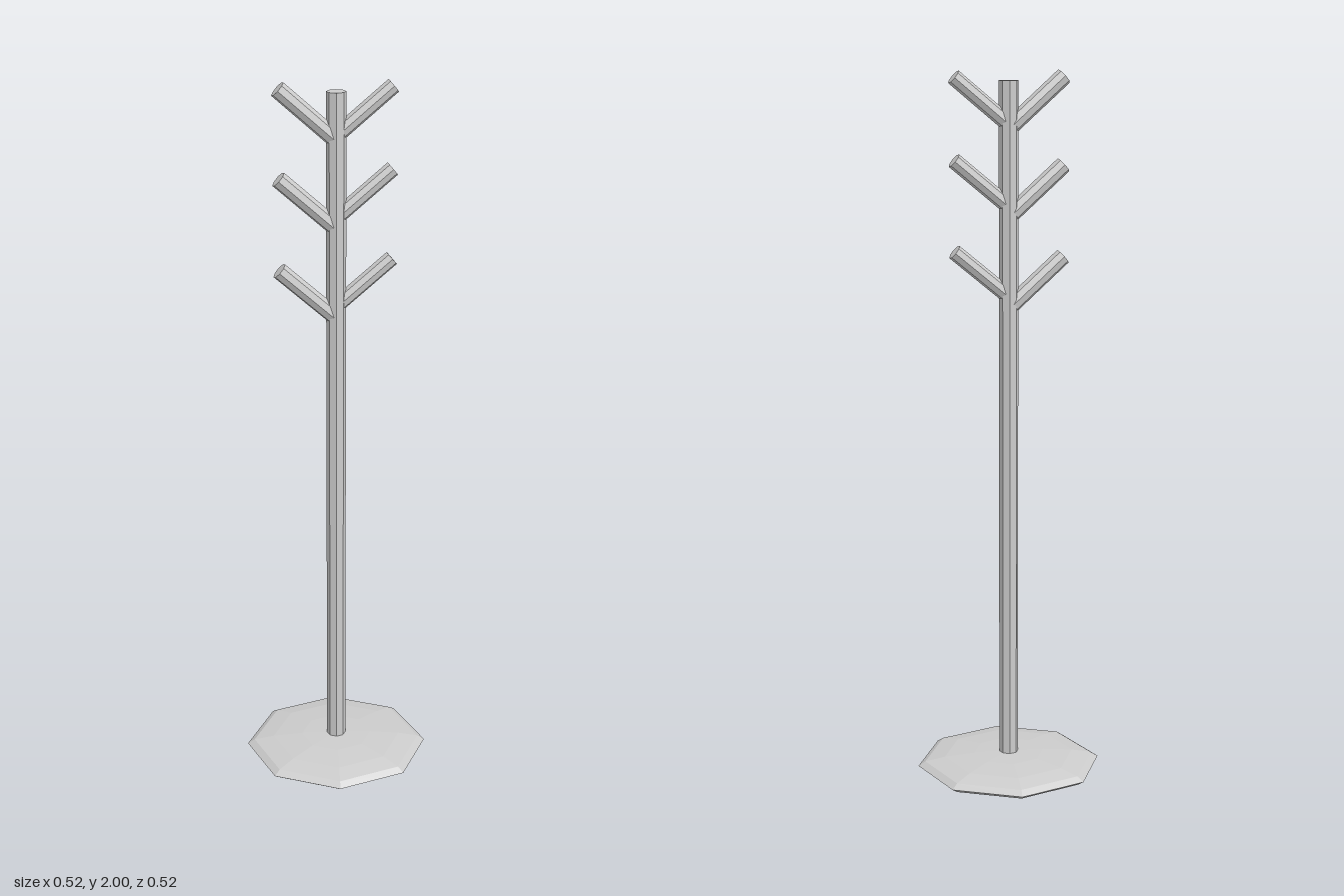
import * as THREE from 'three';

const material = new THREE.MeshStandardMaterial({ color: 0xcccccc, flatShading: true });

function part(name, geometry) {
  const mesh = new THREE.Mesh(geometry, material);
  mesh.name = name;
  return mesh;
}

// Eight-sided rod running between two points
function rod(name, from, to, radius) {
  const axis = to.clone().sub(from);
  const mesh = part(name, new THREE.CylinderGeometry(radius, radius, axis.length(), 8));
  mesh.position.copy(from).addScaledVector(axis, 0.5);
  mesh.quaternion.setFromUnitVectors(new THREE.Vector3(0, 1, 0), axis.normalize());
  return mesh;
}

export function createModel() {
  const group = new THREE.Group();
  group.name = 'coatStand';

  // Flattened faceted dome as the foot
  const base = part('base', new THREE.SphereGeometry(0.262, 8, 8).scale(1, 0.0335 / 0.262, 1));
  base.position.y = 0.0335;
  group.add(base);

  // Upright post
  group.add(rod('post', new THREE.Vector3(0, 0.035, 0), new THREE.Vector3(0, 1.97, 0), 0.027));

  // Three tiers of upward-slanting pegs; the two sides sit at slightly different heights
  const sides = [
    { name: 'leftPeg', x: 0.151, z: -0.021, rise: 0.126, radius: 0.0215, tips: [1.98, 1.76, 1.515] },
    { name: 'rightPeg', x: -0.153, z: 0.016, rise: 0.137, radius: 0.0235, tips: [1.98, 1.743, 1.494] },
  ];
  for (const { name, x, z, rise, radius, tips } of sides) {
    tips.forEach((y, i) => {
      const root = new THREE.Vector3(0, y - rise, 0);
      group.add(rod(`${name}${i + 1}`, root, new THREE.Vector3(x, y, z), radius));
    });
  }
  return group;
}
